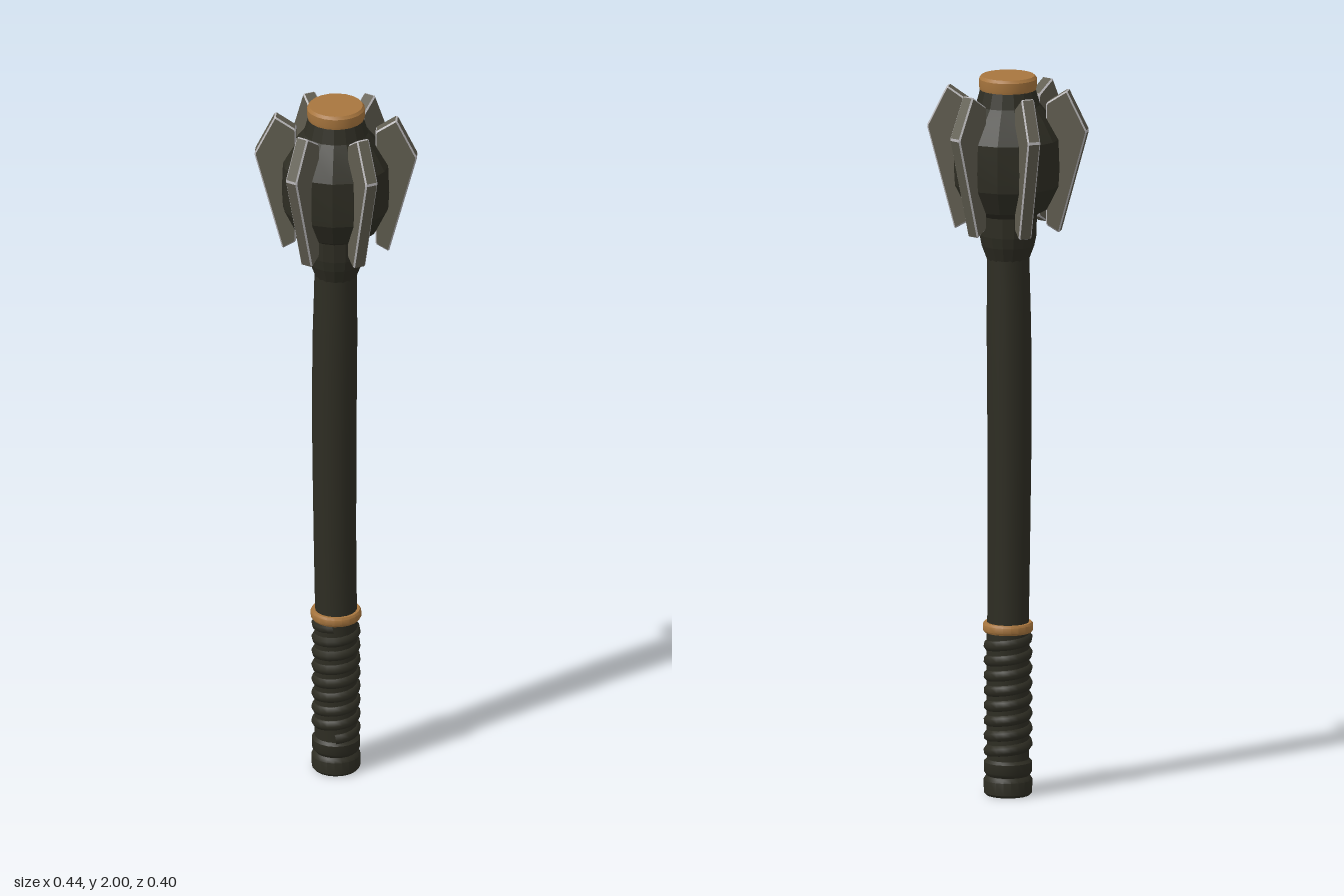
import * as THREE from 'three';
import { toCreasedNormals } from 'three/addons/utils/BufferGeometryUtils.js';

const material = (name, color) => {
  const m = new THREE.MeshStandardMaterial({ color });
  m.name = name;
  return m;
};

// Turned part from [radius, height] pairs, bottom to top
function turned(profile, sides, crease) {
  const points = profile.map(([r, y]) => new THREE.Vector2(r, y));
  return toCreasedNormals(new THREE.LatheGeometry(points, sides), crease);
}

// Replace every corner of an outline with a short chamfer
function chamfer(corners, cut) {
  const points = corners.map(([x, y]) => new THREE.Vector2(x, y));
  return points.flatMap((p, i) => {
    const prev = points[(i + points.length - 1) % points.length];
    const next = points[(i + 1) % points.length];
    return [prev, next].map(q => p.clone().add(q.clone().sub(p).setLength(cut)));
  });
}

// Bevelled blade, split into broad faces and narrow worn edges
function bladeGeometries() {
  const outline = [[0.108, 1.592], [0.145, 1.57], [0.222, 1.855], [0.166, 1.968], [0.108, 1.93]];
  const bevel = 0.004, thickness = 0.037, depth = thickness - 2 * bevel;
  const solid = new THREE.ExtrudeGeometry(new THREE.Shape(chamfer(outline, 0.004)), {
    depth, bevelEnabled: true, bevelThickness: bevel, bevelSize: bevel, bevelOffset: -bevel, bevelSegments: 1,
  });
  solid.translate(0, 0, -depth / 2);
  const position = solid.attributes.position;
  const faces = [], edges = [];
  const tri = new THREE.Triangle(), normal = new THREE.Vector3();
  for (let i = 0; i < position.count; i += 3) {
    tri.setFromAttributeAndIndices(position, i, i + 1, i + 2);
    tri.getNormal(normal);
    const nz = Math.abs(normal.z);
    const span = Math.max(
      Math.hypot(tri.a.x - tri.b.x, tri.a.y - tri.b.y),
      Math.hypot(tri.b.x - tri.c.x, tri.b.y - tri.c.y),
      Math.hypot(tri.c.x - tri.a.x, tri.c.y - tri.a.y));
    const isEdge = (nz > 0.1 && nz < 0.95) || (nz <= 0.1 && span < 0.02);
    for (const v of [tri.a, tri.b, tri.c]) (isEdge ? edges : faces).push(v.x, v.y, v.z);
  }
  return [faces, edges].map(list => {
    const g = new THREE.BufferGeometry();
    g.setAttribute('position', new THREE.Float32BufferAttribute(list, 3));
    g.computeVertexNormals();
    return g;
  });
}

export function createModel() {
  const group = new THREE.Group();
  const dark = material('darkIron', 0x2e2d23);
  const bronze = material('bronze', 0xa8763e);
  const steel = material('bladeSteel', 0x605d50);
  const worn = material('wornEdge', 0xb6b4b6);

  const add = (name, geometry, mat, parent = group) => {
    const mesh = new THREE.Mesh(geometry, mat);
    mesh.name = name;
    parent.add(mesh);
    return mesh;
  };

  // Pommel: two rounded rings with a groove between
  add('pommel', turned([
    [0, 0], [0.06, 0], [0.066, 0.007], [0.067, 0.042], [0.062, 0.05], [0.058, 0.054],
    [0.062, 0.059], [0.066, 0.066], [0.066, 0.092], [0.058, 0.1], [0, 0.1],
  ], 20, 0.6), dark);

  // Grip core and the spiral cord around it
  add('gripCore', turned([[0.058, 0.09], [0.059, 0.46]], 20, 1), dark);
  const turns = 8, low = 0.11, high = 0.445;
  const path = [];
  for (let i = 0; i <= turns * 12; i++) {
    const a = (i / 12) * Math.PI * 2;
    path.push(new THREE.Vector3(Math.sin(a) * 0.05, low + (high - low) * i / (turns * 12), Math.cos(a) * 0.05));
  }
  add('gripCord', new THREE.TubeGeometry(new THREE.CatmullRomCurve3(path), turns * 20, 0.0175, 8), dark);

  // Bronze ring above the grip
  add('gripRing', turned([
    [0.055, 0.453], [0.065, 0.453], [0.069, 0.459], [0.069, 0.474], [0.065, 0.48], [0.055, 0.48],
  ], 20, 0.6), bronze);

  // Shaft, very slightly bowed
  const shaft = turned([
    [0.057, 0.47], [0.058, 0.7], [0.06, 0.95], [0.061, 1.15], [0.061, 1.3], [0.059, 1.42], [0.058, 1.52],
  ], 20, 1);
  const p = shaft.attributes.position;
  for (let i = 0; i < p.count; i++) {
    const bow = 0.005 * Math.sin(Math.PI * (p.getY(i) - 0.47) / 1.05);
    p.setX(i, p.getX(i) - bow);
    p.setZ(i, p.getZ(i) - bow);
  }
  add('shaft', shaft, dark);

  // Faceted head with a collar below and a shoulder above
  add('head', turned([
    [0.056, 1.485], [0.073, 1.53], [0.079, 1.56], [0.08, 1.615], [0.115, 1.635], [0.147, 1.7],
    [0.15, 1.75], [0.147, 1.83], [0.115, 1.885], [0.088, 1.92], [0.075, 1.965],
  ], 16, 0.15), dark);

  // Bronze cap
  add('cap', turned([
    [0.07, 1.96], [0.077, 1.962], [0.079, 1.97], [0.079, 1.992], [0.073, 2], [0, 2],
  ], 20, 0.6), bronze);

  // Six blades around the head
  const [faces, edges] = bladeGeometries();
  for (let i = 0; i < 6; i++) {
    const blade = new THREE.Group();
    blade.name = 'blade' + (i + 1);
    add('bladeFaces', faces, steel, blade);
    add('bladeEdges', edges, worn, blade);
    blade.rotation.y = i * Math.PI / 3;
    group.add(blade);
  }
  return group;
}
